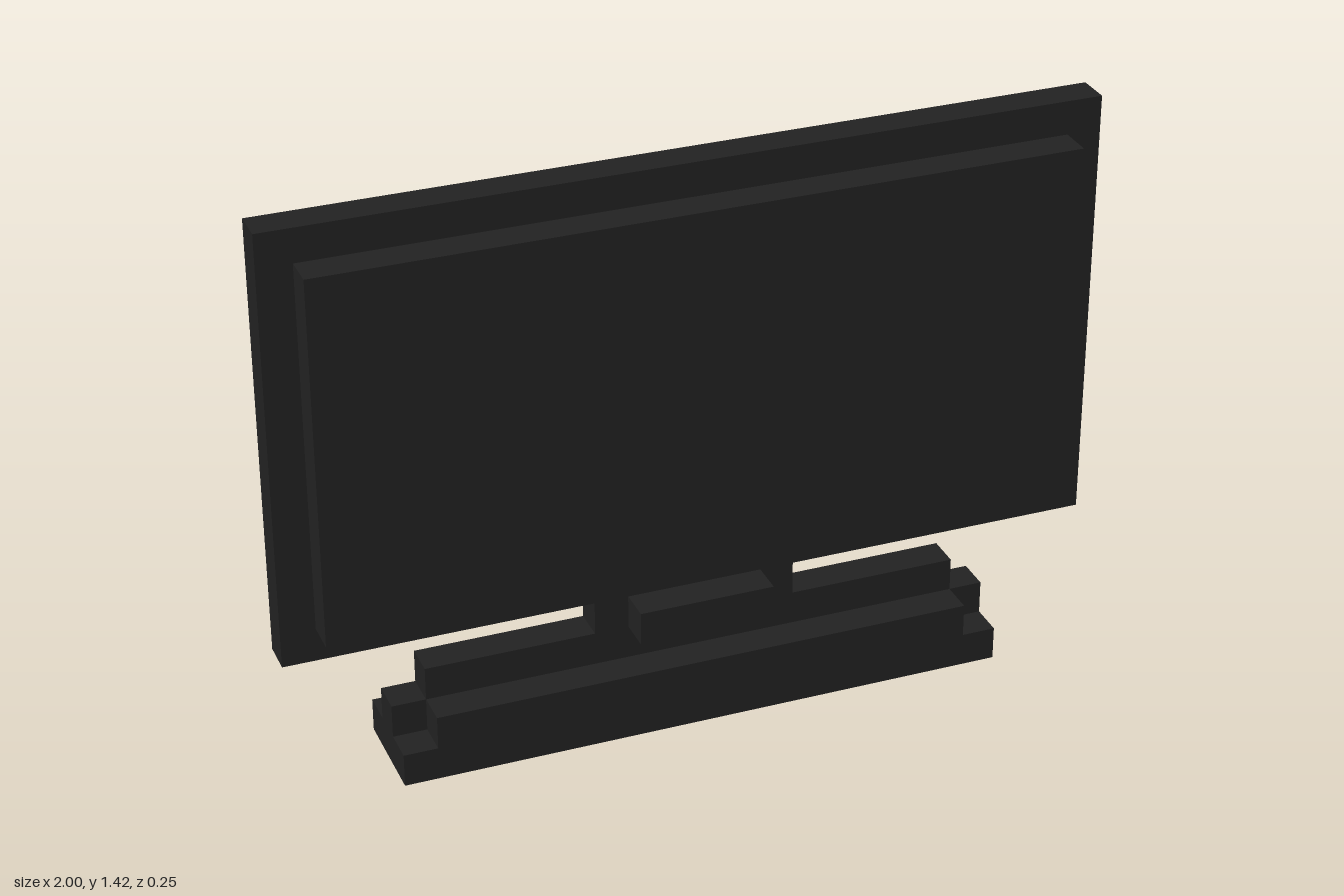
import * as THREE from 'three';

// Everything sits on a grid of 1/12 unit cells
const U = 1 / 12;

export function createModel() {
  const model = new THREE.Group();
  model.name = 'television';
  const black = new THREE.MeshStandardMaterial({ color: 0x222222 });
  black.name = 'matteBlack';

  // Box centred on x, given in grid cells: width, bottom, top, back, front
  const block = (name, width, y0, y1, z0, z1) => {
    const geometry = new THREE.BoxGeometry(width * U, (y1 - y0) * U, (z1 - z0) * U);
    const mesh = new THREE.Mesh(geometry, black);
    mesh.name = name;
    mesh.position.set(0, (y0 + y1) / 2 * U, (z0 + z1) / 2 * U);
    model.add(mesh);
  };

  // Stepped stand
  block('standBase', 18, 0, 1, -1.5, 1.5);
  block('standFrontStep', 16, 1, 2, 0.5, 1.5);
  block('standMiddleStep', 18, 1, 2, -0.5, 0.5);
  block('standTopStep', 16, 2, 3, -0.5, 0.5);

  // Neck with its raised front block
  block('neck', 6, 3, 4, -0.5, 0.5);
  block('neckFront', 4, 3, 4, 0.5, 1.5);

  // Casing and raised screen
  block('casing', 24, 4, 17, -0.5, 0.5);
  block('screen', 22, 5, 16, 0.5, 1.5);

  return model;
}
